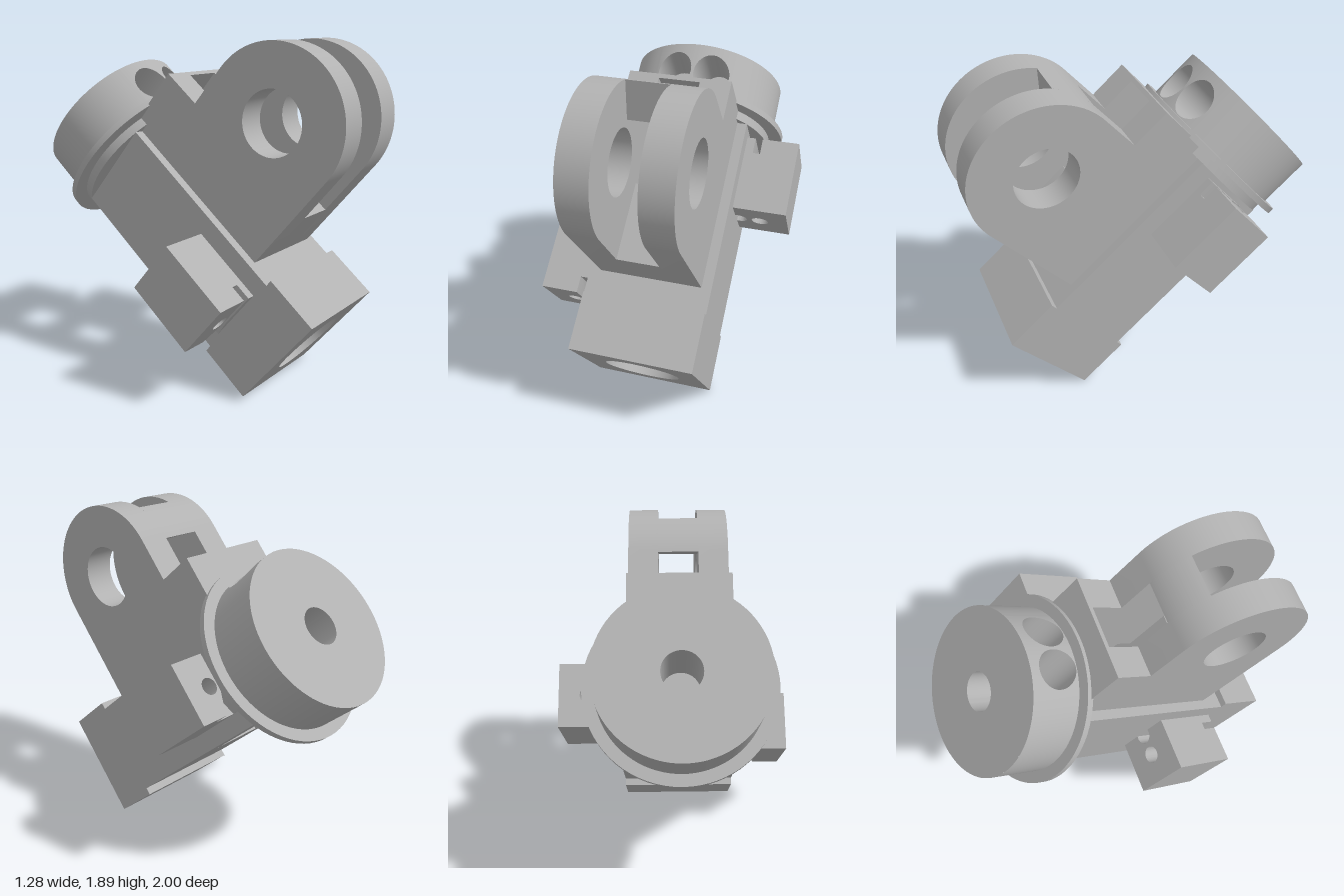
import * as THREE from 'three';
import { toCreasedNormals } from 'three/addons/utils/BufferGeometryUtils.js';

const metal = new THREE.MeshStandardMaterial({ color: 0xb2b2b2 });
metal.name = 'plain grey metal';

const AXIS = 0.316; // height of the bore axis in the tilted frame
// Tilted frame: x across, y = t (height), z = -s (s runs from the socket to the head).

function add(parent, name, geometry) {
  const mesh = new THREE.Mesh(toCreasedNormals(geometry, 0.5), metal);
  mesh.name = name;
  parent.add(mesh);
  return mesh;
}

function polygon(points) {
  return new THREE.Shape(points.map(([x, y]) => new THREE.Vector2(x, y)));
}

function punch(shape, x, y, r) {
  shape.holes.push(new THREE.Path().absarc(x, y, r, 0, Math.PI * 2, true));
  return shape;
}

function rectangle(x0, x1, y0, y1) {
  return polygon([[x0, y0], [x1, y0], [x1, y1], [x0, y1]]);
}

// Section in (x, t) swept from s0 to s1
function alongS(shape, s0, s1) {
  return new THREE.ExtrudeGeometry(shape, { depth: s1 - s0, bevelEnabled: false, curveSegments: 32 })
    .translate(0, 0, -s1);
}

// Profile in (s, t) swept from x0 to x1
function alongX(shape, x0, x1) {
  return new THREE.ExtrudeGeometry(shape, { depth: x1 - x0, bevelEnabled: false, curveSegments: 40 })
    .rotateY(Math.PI / 2).translate(x0, 0, 0);
}

// Turned surface about the bore axis from [radius, s] points
function turned(points, start = 0, length = Math.PI * 2) {
  return new THREE.LatheGeometry(points.map(([r, s]) => new THREE.Vector2(r, s)), 72, start, length)
    .rotateX(-Math.PI / 2).translate(0, AXIS, 0);
}

// Side lug with two drilled holes and a flared slit at one end
function makeLug(name) {
  const lug = new THREE.Group();
  lug.name = name;
  const half = 0.2185, slit = 0.092, low = 0.143, high = 0.485;
  const solid = rectangle(0.29, 0.64, low, high);
  punch(punch(solid, 0.355, 0.313, 0.048), 0.48, 0.313, 0.048);
  add(lug, 'lugBlock', alongS(solid, -half, half - slit));
  const outer = polygon([[0.48, low], [0.64, low], [0.64, high], [0.43, high], [0.43, 0.27]]);
  add(lug, 'lugOuterJaw', alongS(punch(outer, 0.484, 0.313, 0.046), half - slit, half));
  const inner = polygon([[0.29, low], [0.342, low], [0.388, 0.27], [0.388, high], [0.29, high]]);
  add(lug, 'lugInnerJaw', alongS(inner, half - slit, half));
  return lug;
}

// Top of the head rim, with two oval pockets sunk into it
function pocketPatch(R, s0, s1, edge) {
  const sc = 1.645, rs = 0.118, rx = 0.1, xc = 0.108, floor = 0.5;
  const pos = [];
  const quad = (a, b, c, d) => pos.push(...a, ...b, ...c, ...a, ...c, ...d);
  const top = (x, s) => [x, AXIS + Math.sqrt(R * R - x * x), -s];
  const deep = (x, s) => [x, floor, -s];
  for (const side of [-1, 1]) {
    const xs = [xc - rx * 1.08];
    for (let i = 0; i <= 24; i++) xs.push(xc - rx * Math.cos(Math.PI * i / 24));
    xs.push(edge);
    const cols = xs.map(x => side * x).sort((a, b) => a - b);
    const rise = x => rs * Math.sqrt(Math.max(0, 1 - ((x - side * xc) / rx) ** 2));
    for (let i = 0; i < cols.length - 1; i++) {
      const a = cols[i], b = cols[i + 1], ha = rise(a), hb = rise(b);
      quad(top(a, s0), top(b, s0), top(b, sc - hb), top(a, sc - ha));
      quad(top(a, sc + ha), top(b, sc + hb), top(b, s1), top(a, s1));
      if (ha + hb < 1e-4) continue;
      quad(deep(a, sc + ha), deep(b, sc + hb), top(b, sc + hb), top(a, sc + ha));
      quad(top(a, sc - ha), top(b, sc - hb), deep(b, sc - hb), deep(a, sc - ha));
      quad(deep(a, sc - ha), deep(b, sc - hb), deep(b, sc + hb), deep(a, sc + ha));
    }
  }
  const g = new THREE.BufferGeometry();
  g.setAttribute('position', new THREE.Float32BufferAttribute(pos, 3));
  g.computeVertexNormals();
  return g;
}

export function createModel() {
  const model = new THREE.Group();
  model.name = 'clevisHousing';
  const tilted = new THREE.Group();
  tilted.name = 'tiltedAssembly';
  tilted.rotation.x = THREE.MathUtils.degToRad(40);
  tilted.position.z = 0.48;
  model.add(tilted);

  // Square socket with a stepped bore
  const socket = () => rectangle(-0.34, 0.34, 0, 0.629);
  add(tilted, 'socketMouth', alongS(punch(socket(), 0, AXIS, 0.207), 0, 0.175));
  add(tilted, 'socketShoulder', alongS(punch(socket(), 0, AXIS, 0.165), 0.175, 0.318));

  // Body: bored front, closed wall, then two cheeks around an open pocket
  const body = () => rectangle(-0.34, 0.34, 0.042, 0.589);
  add(tilted, 'bodyFront', alongS(punch(body(), 0, AXIS, 0.165), 0.318, 0.86));
  add(tilted, 'bodyWall', alongS(body(), 0.86, 0.879));
  for (const [x0, x1] of [[-0.34, -0.165], [0.165, 0.34]]) {
    add(tilted, 'bodyCheek', alongS(rectangle(x0, x1, 0.042, 0.589), 0.879, 1.44));
  }

  // Clevis plates with the rear step
  for (const [x0, x1] of [[-0.285, -0.115], [0.115, 0.285]]) {
    const plate = new THREE.Shape();
    plate.moveTo(0.458, 0.589);
    plate.lineTo(1.5, 0.589);
    plate.lineTo(1.5, 0.96);
    plate.lineTo(1.27, 0.96);
    plate.lineTo(1.27, 1.208);
    plate.absarc(0.864, 1.208, 0.406, 0, Math.PI, false);
    add(tilted, 'clevisPlate', alongX(punch(plate, 0.864, 1.208, 0.173), x0, x1));
  }

  // Filling between the plates: base, rear bridge above the window, end wall
  add(tilted, 'clevisBase', alongX(rectangle(0.458, 0.879, 0.589, 0.894), -0.115, 0.115));
  const bridge = new THREE.Shape();
  bridge.moveTo(1.2, 1.18);
  bridge.absarc(0.864, 1.208, 0.406, -0.044, 0.597, false);
  bridge.lineTo(1.068, 1.27);
  add(tilted, 'clevisBridge', alongX(bridge, -0.115, 0.115));
  add(tilted, 'slotEndWall', alongX(rectangle(1.475, 1.5, 0.589, 0.96), -0.115, 0.115));

  // Round head: spigot, flange, rim and drilled cap
  const R = 0.445, edge = 0.22, gap = Math.asin(edge / R);
  add(tilted, 'headFlange', turned([[0.105, 1.437], [0.433, 1.437], [0.433, 1.487],
    [0.51, 1.487], [0.51, 1.522], [R - 0.005, 1.522]]));
  add(tilted, 'headRim', turned([[R, 1.522], [R, 1.817]], gap, Math.PI * 2 - 2 * gap));
  add(tilted, 'headCap', turned([[R, 1.817], [0.105, 1.817], [0.105, 1.437]]));
  add(tilted, 'headPockets', pocketPatch(R, 1.522, 1.817, edge));

  // Side lugs, the second turned half round
  const leftLug = makeLug('leftLug');
  leftLug.position.z = -1.1835;
  const rightLug = makeLug('rightLug');
  rightLug.position.z = -0.55;
  rightLug.rotation.y = Math.PI;
  tilted.add(leftLug, rightLug);

  return model;
}
